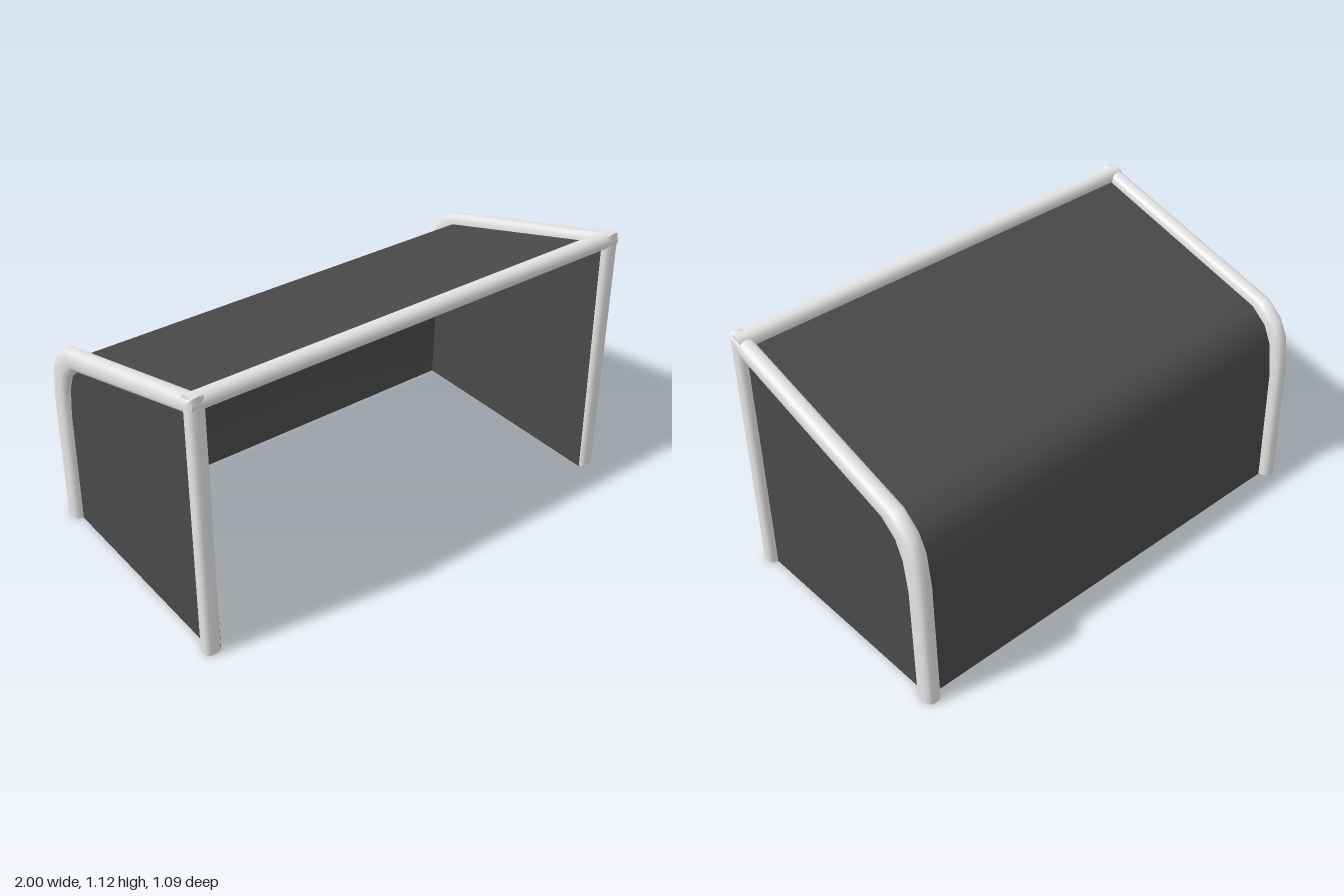
import * as THREE from 'three';

// Side profile of the frame, from the back foot to the front top corner:
// [outer z, outer y, inner z, inner y]
const RAIL = [
  [-0.544, 0.003, -0.457, 0.003],
  [-0.533, 0.57, -0.447, 0.52],
  [-0.512, 0.72, -0.427, 0.65],
  [-0.476, 0.79, -0.392, 0.73],
  [-0.403, 0.853, -0.322, 0.787],
  [0.538, 1.122, 0.479, 1.036],
];
const POST = [RAIL[5], [0.545, 0.003, 0.48, 0.003]];
const SIDE_X = 0.964;
const TUBE_R = 0.035;
const SEGMENTS = 16;
const NET_DEPTH = 0.036;

// Power below one squares off a circle a little
const soft = (v) => Math.sign(v) * Math.abs(v) ** 0.75;

// Tube swept through mitred, softly squared sections, with closed ends
function tubeGeometry(sections) {
  const pos = [], index = [];
  const ring = ([oz, oy, iz, iy]) => {
    for (let j = 0; j < SEGMENTS; j++) {
      const a = (j / SEGMENTS) * Math.PI * 2, c = soft(Math.cos(a)) / 2;
      pos.push(TUBE_R * soft(Math.sin(a)), (oy + iy) / 2 + c * (oy - iy), (oz + iz) / 2 + c * (oz - iz));
    }
  };
  sections.forEach(ring);
  for (let i = 0; i < sections.length - 1; i++) {
    for (let j = 0; j < SEGMENTS; j++) {
      const k = (j + 1) % SEGMENTS, a = i * SEGMENTS, b = a + SEGMENTS;
      index.push(a + j, b + j, a + k, b + j, b + k, a + k);
    }
  }
  // End caps have their own vertices so that their rims stay sharp
  [sections[0], sections[sections.length - 1]].forEach((section, end) => {
    const start = pos.length / 3;
    ring(section);
    for (let j = 1; j < SEGMENTS - 1; j++) {
      if (end === 0) index.push(start, start + j, start + j + 1);
      else index.push(start, start + j + 1, start + j);
    }
  });
  const geo = new THREE.BufferGeometry();
  geo.setAttribute('position', new THREE.Float32BufferAttribute(pos, 3));
  geo.setIndex(index);
  geo.computeVertexNormals();
  return geo;
}

// Sheet across the full width, bent along a [z, y] profile
function sheetGeometry(profile) {
  const sheet = new THREE.PlaneGeometry(SIDE_X * 2, 1, 1, profile.length - 1);
  const p = sheet.attributes.position;
  for (let i = 0; i < p.count; i++) {
    const [z, y] = profile[Math.floor(i / 2)];
    p.setXYZ(i, p.getX(i), y, z);
  }
  sheet.computeVertexNormals();
  return sheet;
}

export function createModel() {
  const group = new THREE.Group();
  const frameMat = new THREE.MeshStandardMaterial({ color: 0xe4e4e4 });
  frameMat.name = 'white frame';
  const netMat = new THREE.MeshStandardMaterial({ color: 0x494949, side: THREE.DoubleSide });
  netMat.name = 'dark net';

  const add = (name, geo, mat, x = 0, y = 0, z = 0) => {
    const mesh = new THREE.Mesh(geo, mat);
    mesh.name = name;
    mesh.position.set(x, y, z);
    group.add(mesh);
  };

  // Net outer face follows the tube centres, its inner face the tubes' inside
  const outer = RAIL.map(([oz, oy, iz, iy]) => [(oz + iz) / 2, (oy + iy) / 2]);
  const inner = RAIL.map(([, , iz, iy]) => [iz + 0.002, iy]);
  outer[0][1] = inner[0][1] = 0;
  inner[5][1] = 1.05;

  const railGeo = tubeGeometry(RAIL);
  const postGeo = tubeGeometry(POST);

  // Side panel filling the frame outline and lining the inside of the tubes
  const outline = [...outer, [0.525, 0]].map(([z, y]) => new THREE.Vector2(-z, y));
  const sideGeo = new THREE.ExtrudeGeometry(new THREE.Shape(outline), { depth: NET_DEPTH, bevelEnabled: false });
  sideGeo.translate(0, 0, -NET_DEPTH / 2);
  sideGeo.rotateY(Math.PI / 2);

  for (const [side, s] of [['left', 1], ['right', -1]]) {
    add(side + 'Rail', railGeo, frameMat, s * SIDE_X);
    add(side + 'FrontPost', postGeo, frameMat, s * SIDE_X);
    add(side + 'SideNet', sideGeo, netMat, s * (SIDE_X - NET_DEPTH / 2));
  }

  // Crossbar running through to the outside of the corners
  const bar = new THREE.CylinderGeometry(TUBE_R, TUBE_R, 1.98, SEGMENTS);
  bar.rotateZ(Math.PI / 2);
  add('crossbar', bar, frameMat, 0, 1.085, 0.504);

  // Back and roof net, closed along the ground
  add('backAndRoofNetOutside', sheetGeometry(outer), netMat);
  add('backAndRoofNetInside', sheetGeometry(inner), netMat);
  add('backNetHem', sheetGeometry([inner[0], outer[0]]), netMat);

  return group;
}
